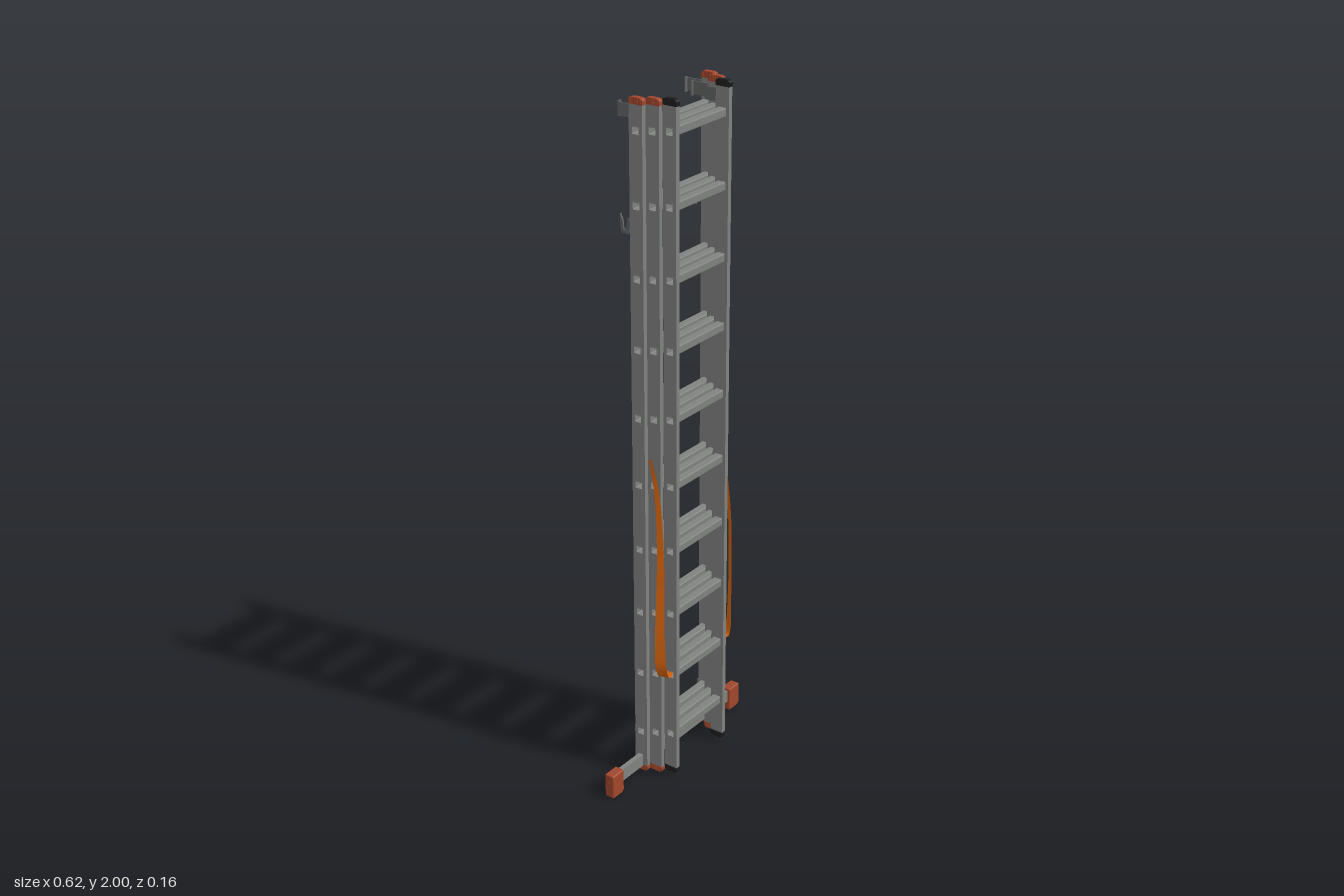
import * as THREE from 'three';
import { RoundedBoxGeometry } from 'three/addons/geometries/RoundedBoxGeometry.js';

const mat = (name, color, side = THREE.FrontSide) => {
  const m = new THREE.MeshStandardMaterial({ color, side });
  m.name = name;
  return m;
};

// Rounded rectangle centred on (cx, cy), for a Shape or a hole Path
function roundRect(path, cx, cy, w, h, r) {
  const x0 = cx - w / 2, x1 = cx + w / 2, y0 = cy - h / 2, y1 = cy + h / 2;
  path.moveTo(x0 + r, y0);
  path.lineTo(x1 - r, y0); path.quadraticCurveTo(x1, y0, x1, y0 + r);
  path.lineTo(x1, y1 - r); path.quadraticCurveTo(x1, y1, x1 - r, y1);
  path.lineTo(x0 + r, y1); path.quadraticCurveTo(x0, y1, x0, y1 - r);
  path.lineTo(x0, y0 + r); path.quadraticCurveTo(x0, y0, x0 + r, y0);
  return path;
}

// Extrude a side-on shape (z, y) across x, centred on x = 0
function extrudeX(shape, width) {
  const g = new THREE.ExtrudeGeometry(shape, { depth: width, bevelEnabled: false, curveSegments: 4 });
  g.translate(0, 0, -width / 2);
  g.rotateY(Math.PI / 2);
  return g;
}

export function createModel() {
  const aluminium = mat('aluminium', 0x808280);
  const steel = mat('bracket steel', 0x626464);
  const red = mat('red plastic', 0xa2462c);
  const black = mat('black plastic', 0x1c1c1c);
  const orange = mat('orange webbing', 0xd2620f, THREE.DoubleSide);

  const model = new THREE.Group();
  model.name = 'tripleLadder';
  const add = (parent, name, geometry, material, x = 0, y = 0, z = 0) => {
    const m = new THREE.Mesh(geometry, material);
    m.name = name;
    m.position.set(x, y, z);
    parent.add(m);
    return m;
  };
  const box = (w, h, d) => new THREE.BoxGeometry(w, h, d);

  const rungY = Array.from({ length: 10 }, (_, i) => 0.145 + i * 0.1967);
  const railW = 0.014, railD = 0.042;

  // Rail with a square opening at every rung
  const railShape = new THREE.Shape();
  roundRect(railShape, 0, 1.006, railD, 1.964, 0.001);
  for (const y of rungY) railShape.holes.push(roundRect(new THREE.Path(), 0, y, 0.023, 0.021, 0.003));
  const railGeo = extrudeX(railShape, railW);

  // Hollow rung
  const rungShape = roundRect(new THREE.Shape(), 0, 0, 0.025, 0.024, 0.004);
  rungShape.holes.push(roundRect(new THREE.Path(), 0, 0, 0.021, 0.019, 0.003));

  // Arched end cap with ribs
  const capShape = new THREE.Shape();
  capShape.moveTo(-0.022, -0.01);
  capShape.lineTo(0.022, -0.01);
  capShape.lineTo(0.022, 0.001);
  capShape.quadraticCurveTo(0.02, 0.007, 0.012, 0.008);
  capShape.lineTo(-0.012, 0.008);
  capShape.quadraticCurveTo(-0.02, 0.007, -0.022, 0.001);
  const capGeo = extrudeX(capShape, 0.0152);
  function endCap(parent, material, x, y, up) {
    const cap = new THREE.Group();
    cap.name = 'railEndCap';
    add(cap, 'capBody', capGeo, material);
    for (let i = 0; i < 5; i++) add(cap, 'capRib', box(0.0175, 0.014, 0.004), material, 0, 0, (i - 2) * 0.0075);
    cap.position.set(x, y, 0);
    if (!up) cap.rotation.x = Math.PI;
    parent.add(cap);
  }

  // Three nested sections, widest at the back
  const sections = [
    { name: 'backSection', x: 0.154, z: -0.0145, cap: red },
    { name: 'middleSection', x: 0.134, z: 0.0225, cap: red },
    { name: 'frontSection', x: 0.113, z: 0.0600, cap: black },
  ];
  for (const s of sections) {
    const group = new THREE.Group();
    group.name = s.name;
    group.position.z = s.z;
    const rungGeo = extrudeX(rungShape, 2 * s.x + railW + 0.001);
    for (const y of rungY) add(group, 'rung', rungGeo, aluminium, 0, y, 0);
    for (const side of [-1, 1]) {
      add(group, 'rail', railGeo, aluminium, side * s.x);
      endCap(group, s.cap, side * s.x, 1.992, true);
      endCap(group, s.cap, side * s.x, 0.023, false);
    }
    model.add(group);
  }

  // Lower catch hook, seen side-on
  const hook = new THREE.Shape();
  [[0.03, 1.675], [0.052, 1.675], [0.056, 1.645], [0.066, 1.645], [0.068, 1.668], [0.076, 1.685],
    [0.076, 1.665], [0.072, 1.634], [0.05, 1.634], [0.045, 1.655], [0.03, 1.66]]
    .forEach(([z, y], i) => (i ? hook.lineTo(z, y) : hook.moveTo(z, y)));
  const hookGeo = extrudeX(hook, 0.005);

  // Strap ribbon: centre point, half width, and twist of the width from z towards -x
  const strapPath = new THREE.CatmullRomCurve3([
    [0.147, 1.01, 0.014], [0.153, 0.92, 0.04], [0.162, 0.75, 0.058], [0.167, 0.58, 0.06],
    [0.167, 0.45, 0.059], [0.162, 0.375, 0.06], [0.147, 0.347, 0.06], [0.122, 0.352, 0.058],
  ].map((p) => new THREE.Vector3(...p)));
  function strapGeometry(side) {
    const n = 40, pos = [], idx = [];
    for (let i = 0; i <= n; i++) {
      const t = i / n, p = strapPath.getPoint(t);
      const half = 0.005 + 0.01 * Math.min(1, t * 1.6);
      const twist = 0.6 * Math.sin(Math.PI * t);
      for (const e of [-1, 1]) {
        pos.push(side * (p.x - e * half * Math.sin(twist)), p.y, p.z + e * half * Math.cos(twist));
      }
      if (i < n) {
        const a = 2 * i;
        idx.push(a, a + 1, a + 2, a + 1, a + 3, a + 2);
      }
    }
    const g = new THREE.BufferGeometry();
    g.setAttribute('position', new THREE.Float32BufferAttribute(pos, 3));
    g.setIndex(idx);
    g.computeVertexNormals();
    return g;
  }

  // Stabiliser bar across the foot
  add(model, 'stabiliserBar', box(0.56, 0.038, 0.015), aluminium, 0, 0.048, -0.016);

  for (const side of [-1, 1]) {
    // Rubber feet on the stabiliser, each with a screw
    add(model, 'stabiliserFoot', new RoundedBoxGeometry(0.05, 0.07, 0.03, 2, 0.004), red, side * 0.285, 0.039, -0.0155);
    add(model, 'footPad', box(0.044, 0.008, 0.026), red, side * 0.285, 0.004, -0.0155);
    add(model, 'footScrew', new THREE.CylinderGeometry(0.003, 0.003, 0.002, 10), steel, side * 0.285, 0.0745, -0.0155);

    // Top guide brackets on the back and middle sections
    for (const [x, z0, z1] of [[0.146, -0.08, -0.034], [0.1255, -0.045, 0.003]]) {
      add(model, 'guidePlate', box(0.003, 0.035, z1 - z0), steel, side * x, 1.958, (z0 + z1) / 2);
      add(model, 'guideLip', box(0.012, 0.04, 0.003), steel, side * (x - 0.0055), 1.958, z0);
    }
    add(model, 'frontGuide', box(0.003, 0.035, 0.035), steel, side * 0.1045, 1.958, 0.024);

    // Catch hook, bottom clip and safety strap
    add(model, 'catchHook', hookGeo, steel, side * 0.147);
    add(model, 'bottomClip', box(0.012, 0.022, 0.006), steel, side * 0.152, 0.145, -0.037);
    add(model, 'safetyStrap', strapGeometry(side), orange);
  }
  return model;
}
